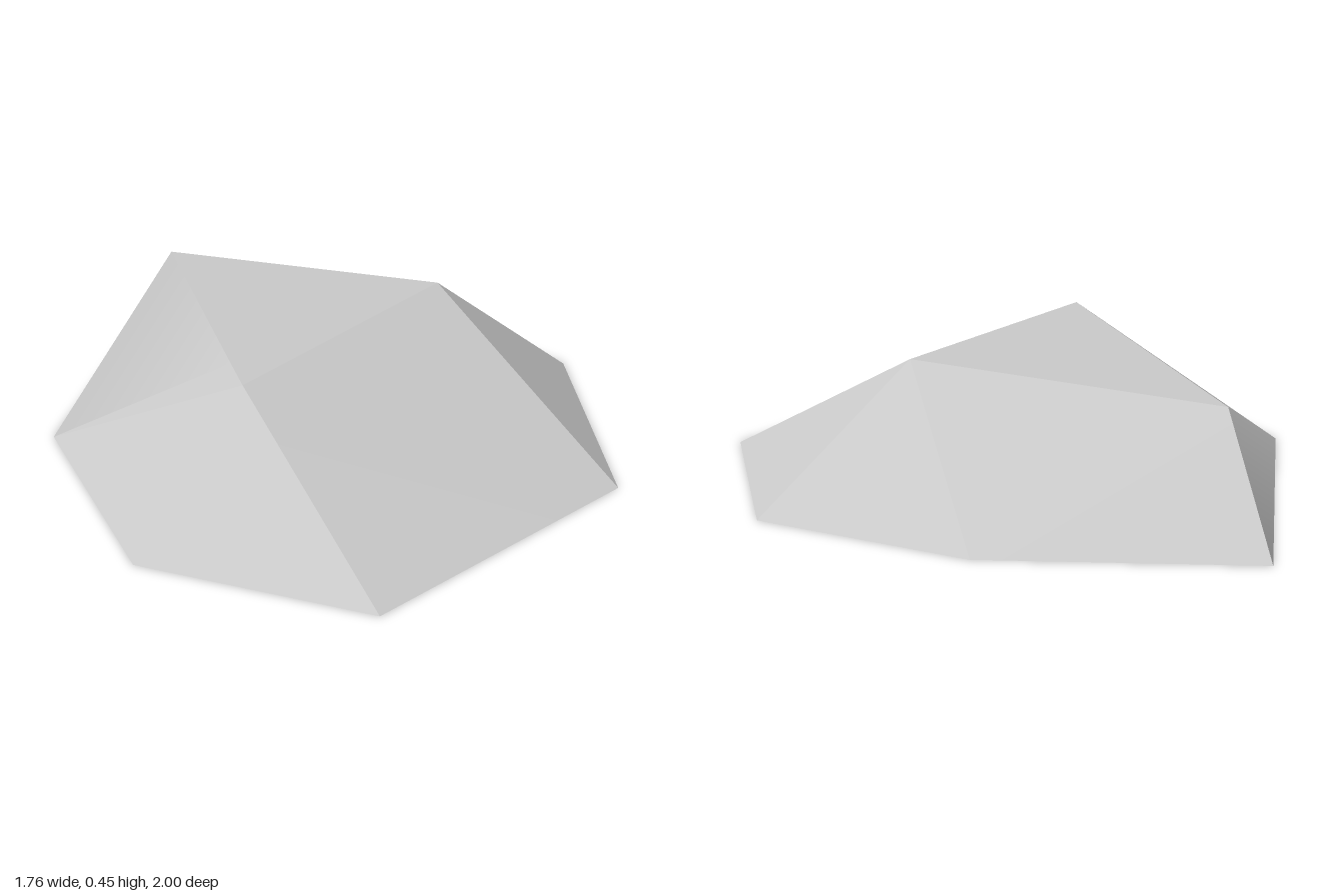
import * as THREE from 'three';
import { mergeGeometries } from 'three/addons/utils/BufferGeometryUtils.js';

// Corners: ground outline (A-G), then the upper crest (P-S)
const corners = {
  A: [0.35, 0, -1], B: [0.77, 0, -0.23], C: [0.88, 0, 0.49], D: [0.4, 0, 1],
  E: [-0.56, 0, 0.76], F: [-0.88, 0, 0.05], G: [-0.62, 0, -0.61],
  P: [0.1, 0.36, -0.73], Q: [0.44, 0.45, 0.21], R: [-0.42, 0.45, 0.1], S: [-0.345, 0.436, -0.02],
};

// Facets, each listed counter-clockwise from outside
const facets = [
  'QPSR',                             // sloping top
  'DQRE', 'DCQ', 'CBQ', 'BAPQ',       // front and left flanks
  'GSPA', 'GRS', 'GFR', 'FER',        // back and right flanks
  'ABCDEFG',                          // flat underside
];

// Each facet is a fan sharing its corners: soft inside, crisp at its rim
function facetGeometry(names) {
  const geometry = new THREE.BufferGeometry();
  const positions = [...names].flatMap((name) => corners[name]);
  const index = [];
  for (let i = 1; i < names.length - 1; i++) index.push(0, i, i + 1);
  geometry.setAttribute('position', new THREE.Float32BufferAttribute(positions, 3));
  geometry.setIndex(index);
  geometry.computeVertexNormals();
  return geometry;
}

export function createModel() {
  const stone = new THREE.MeshStandardMaterial({ color: 0xcacaca });
  stone.name = 'light stone grey';

  const rock = new THREE.Mesh(mergeGeometries(facets.map(facetGeometry)), stone);
  rock.name = 'rock';
  const group = new THREE.Group();
  group.name = 'facetedRock';
  group.add(rock);
  return group;
}
